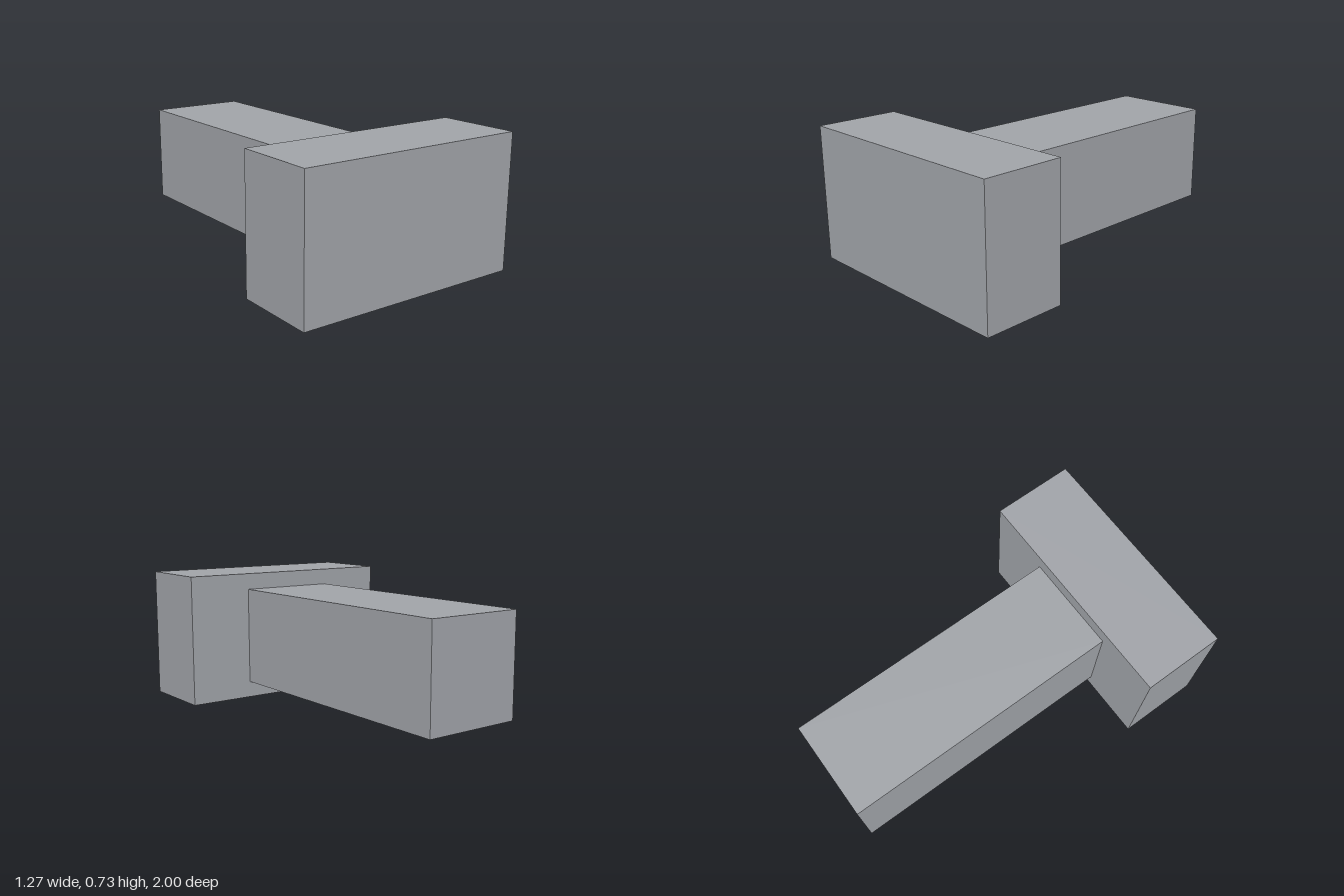
import * as THREE from 'three';

const U = 1 / 11; // base unit: the model is 22 units long

export function createModel() {
  const group = new THREE.Group();
  group.name = 'mallet';

  const grey = new THREE.MeshStandardMaterial({ color: 0xa0a3a8 });
  grey.name = 'grey';

  // Adds a box sized and centred in base units
  function addBox(name, [w, h, d], [x, y, z]) {
    const mesh = new THREE.Mesh(new THREE.BoxGeometry(w * U, h * U, d * U), grey);
    mesh.name = name;
    mesh.position.set(x * U, y * U, z * U);
    group.add(mesh);
  }

  // Wide block at the front
  addBox('head', [14, 8, 5], [0, 4, 8.5]);
  // Square bar running back from the head
  addBox('handle', [6, 6, 17], [0, 4, -2.5]);

  return group;
}
